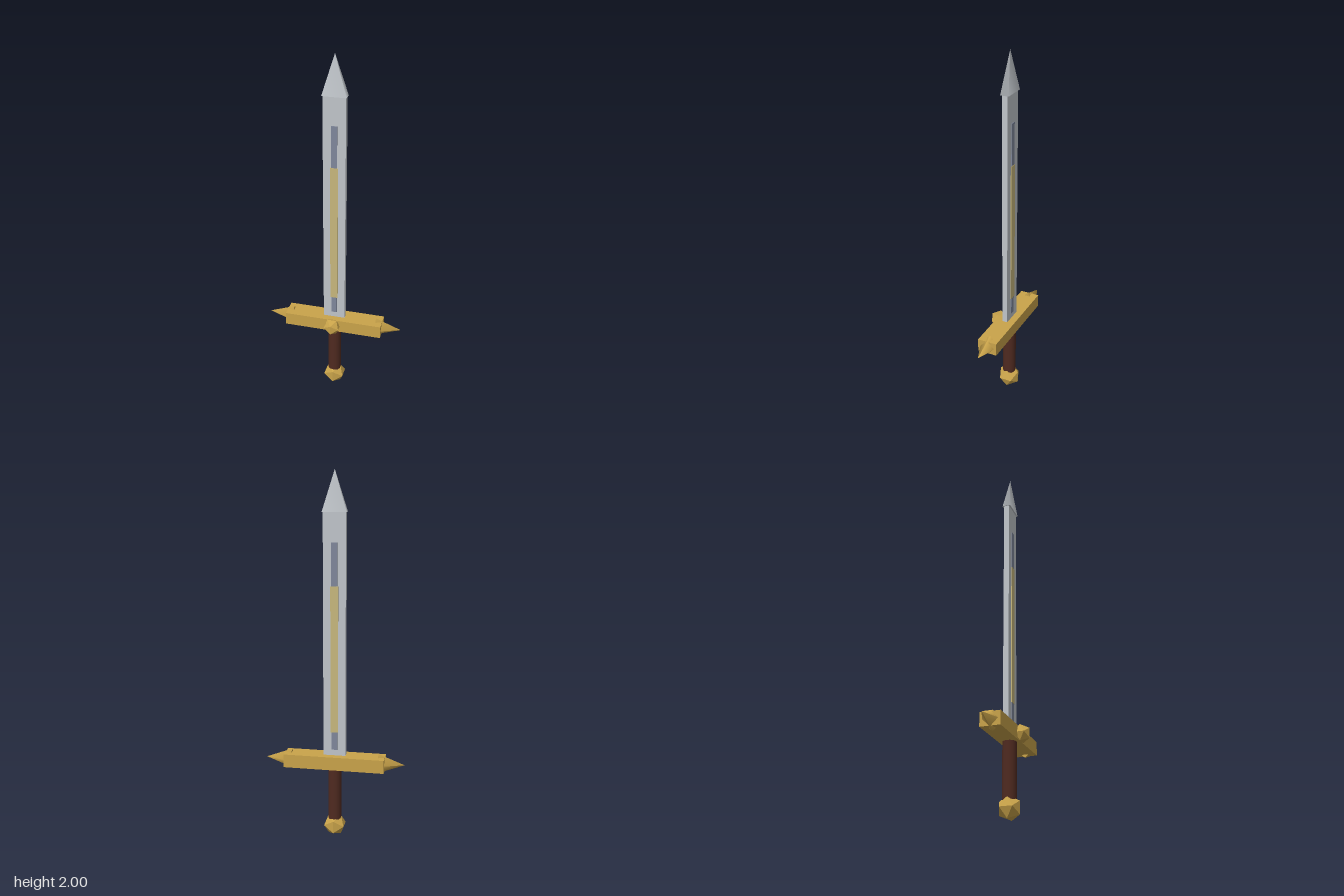
import * as THREE from 'three';

const mat = (name, color, flatShading = false) => {
  const m = new THREE.MeshStandardMaterial({ color, flatShading });
  m.name = name;
  return m;
};

export function createModel() {
  const sword = new THREE.Group();
  sword.name = 'sword';
  const steel = mat('steel', 0xc0c5ca);
  const darkSteel = mat('dark steel', 0x7f879b);
  const gold = mat('gold', 0xc9a34a);
  const paleGold = mat('pale gold', 0xc7b77d);
  const leather = mat('brown leather', 0x4f2a20);

  const Z = -0.0275; // centre plane of the blade

  const add = (name, geometry, material, x, y, z = Z) => {
    const mesh = new THREE.Mesh(geometry, material);
    mesh.name = name;
    mesh.position.set(x, y, z);
    sword.add(mesh);
    return mesh;
  };

  // Box given by full width, vertical range and depth
  const bar = (name, w, y0, y1, d, material) =>
    add(name, new THREE.BoxGeometry(w, y1 - y0, d), material, 0, (y0 + y1) / 2);

  // Blade with a raised ridge and a gilded inlay on both faces
  bar('blade', 0.122, 0.45, 1.79, 0.03, steel);
  bar('bladeRidge', 0.032, 0.5, 1.63, 0.037, darkSteel);
  bar('bladeInlay', 0.042, 0.6, 1.4, 0.04, paleGold);

  // Flattened four-sided point
  const tip = new THREE.ConeGeometry(0.065 * Math.SQRT2, 0.215, 4);
  tip.rotateY(Math.PI / 4);
  tip.scale(1, 1, 0.354);
  add('bladeTip', tip, steel, 0, 1.8925);

  // Crossguard with a spike at each end
  bar('crossguard', 0.556, 0.393, 0.467, 0.11, gold);
  for (const side of [1, -1]) {
    const spike = new THREE.ConeGeometry(0.055, 0.145, 4);
    spike.rotateZ(-side * Math.PI / 2);
    add(side > 0 ? 'leftGuardSpike' : 'rightGuardSpike', spike, gold, side * 0.3145, 0.43);
  }

  // Faceted stud on the front of the guard (icosahedra are faceted by default)
  add('guardStud', new THREE.IcosahedronGeometry(0.05, 0), gold, 0, 0.43, 0.0375);

  // Grip and faceted pommel
  add('grip', new THREE.CylinderGeometry(0.037, 0.037, 0.34, 16), leather, 0, 0.24);
  add('pommel', new THREE.IcosahedronGeometry(0.065, 0), gold, 0, 0.0555);

  return sword;
}
